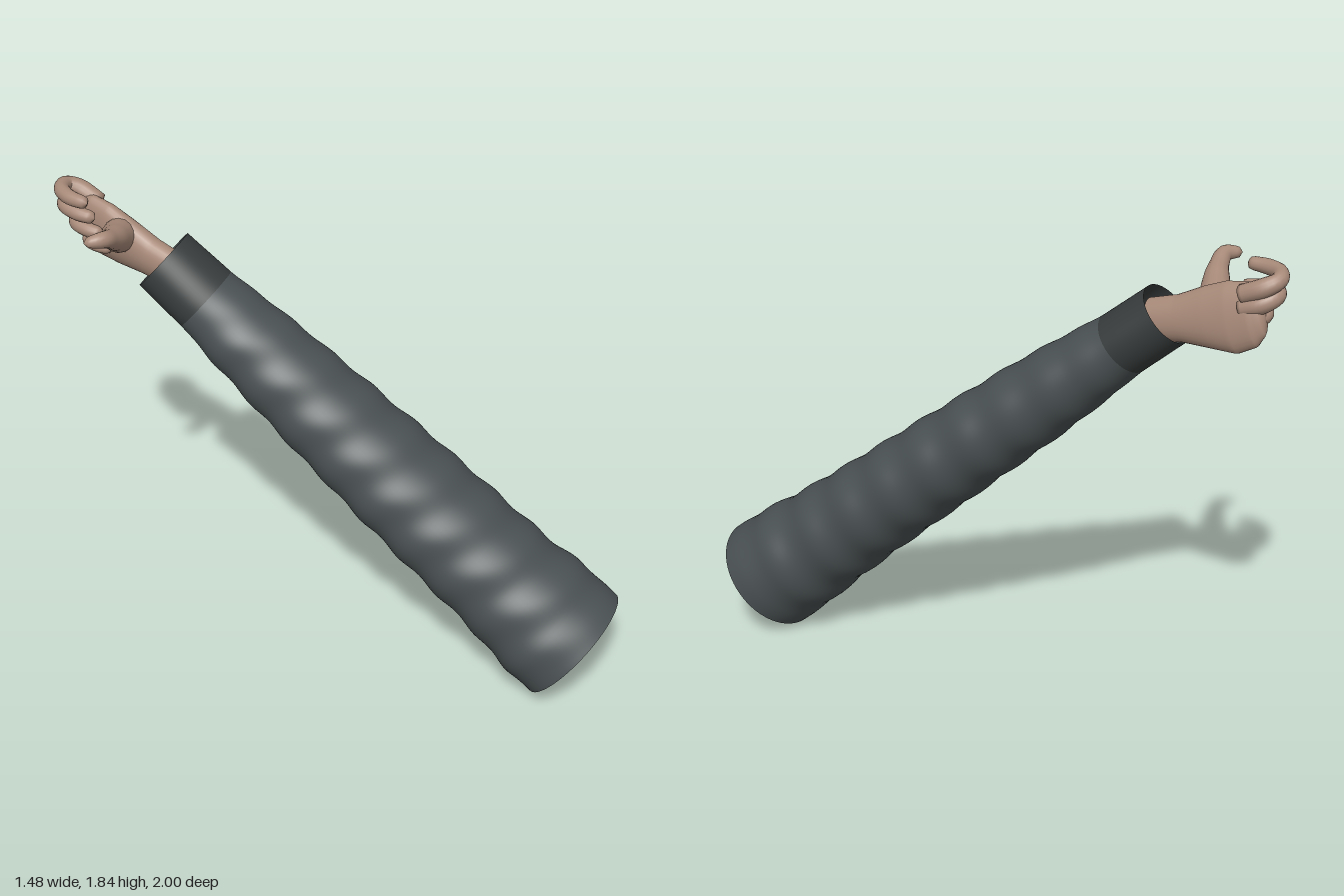
import * as THREE from 'three';

const vec = (x, y, z) => new THREE.Vector3(x, y, z);
const material = (color, side = THREE.FrontSide) => new THREE.MeshStandardMaterial({ color, side });

// Piecewise linear lookup in a list of [t, value...] rows
function sample(rows, t) {
  let i = 0;
  while (i < rows.length - 2 && t > rows[i + 1][0]) i++;
  const k = THREE.MathUtils.clamp((t - rows[i][0]) / (rows[i + 1][0] - rows[i][0]), 0, 1);
  const s = k * k * (3 - 2 * k) * 0.4 + k * 0.6;
  return rows[i].map((v, j) => v + (rows[i + 1][j] - v) * s);
}

// Closed cross-sections joined in a row; point(t, angle) gives the surface
function loft(point, rows, sides) {
  const pos = [], index = [];
  for (let i = 0; i <= rows; i++) {
    for (let j = 0; j < sides; j++) pos.push(...point(i / rows, (j / sides) * Math.PI * 2).toArray());
  }
  for (let i = 0; i < rows; i++) {
    for (let j = 0; j < sides; j++) {
      const a = i * sides + j, b = i * sides + ((j + 1) % sides);
      index.push(a, b, a + sides, b, b + sides, a + sides);
    }
  }
  const geo = new THREE.BufferGeometry();
  geo.setAttribute('position', new THREE.Float32BufferAttribute(pos, 3));
  geo.setIndex(index);
  geo.computeVertexNormals();
  return geo;
}

// Rounded, tapering limb through points [x, y, z, radius]
function limb(points, rows = 28, sides = 16) {
  const curve = new THREE.CatmullRomCurve3(points.map(p => vec(p[0], p[1], p[2])));
  const frames = curve.computeFrenetFrames(rows);
  const radii = points.map((p, i) => [i / (points.length - 1), p[3]]);
  const length = curve.getLength();
  return loft((t, angle) => {
    const i = Math.round(t * rows);
    const u = 1 - Math.pow(1 - t, 1.5); // denser rows at the tip
    const at = curve.getUtoTmapping(t);
    let r = sample(radii, at)[1];
    const fromTip = (1 - t) * length;
    if (fromTip < r) r *= Math.sqrt(Math.max(0, 1 - (1 - fromTip / r) ** 2));
    if (t === 0) r = 0.001;
    return curve.getPointAt(t)
      .addScaledVector(frames.normals[i], r * Math.cos(angle))
      .addScaledVector(frames.binormals[i], r * Math.sin(angle));
  }, rows, sides);
}

export function createModel() {
  const model = new THREE.Group();
  const add = (name, geo, mat, parent = model) => {
    const mesh = new THREE.Mesh(geo, mat);
    mesh.name = name;
    parent.add(mesh);
    return mesh;
  };

  // Sleeve axis from shoulder to wrist, with the two axes of its oval section
  const shoulder = vec(0.505, 0.187, 0.82), wrist = vec(-0.405, 1.595, -0.577);
  const U = vec(0, 0.708, 0.706), V = vec(0.909, 0.295, -0.295);
  const profile = [ // t, half size along U, half size along V
    [0, 0.236, 0.258], [0.06, 0.23, 0.262], [0.18, 0.207, 0.238], [0.3, 0.193, 0.232],
    [0.43, 0.183, 0.222], [0.58, 0.171, 0.203], [0.7, 0.161, 0.184],
    [0.8, 0.145, 0.167], [0.9, 0.125, 0.144], [1, 0.123, 0.137],
  ];
  const sleevePoint = (t, angle) => {
    const [, a, b] = sample(profile, t);
    // soft cloth folds that fade out at both ends
    const fade = Math.min(1, t / 0.08) * THREE.MathUtils.clamp((0.9 - t) / 0.08, 0, 1);
    const fold = 1 + 0.022 * fade * Math.sin(t * 66 + 1.8 * Math.sin(angle) + Math.cos(2 * angle));
    return shoulder.clone().lerp(wrist, t)
      .addScaledVector(U, a * fold * Math.cos(angle))
      .addScaledVector(V, b * fold * Math.sin(angle));
  };
  add('sleeve', loft((t, g) => sleevePoint(t * 0.9, g), 110, 64), material(0x4a5153, THREE.DoubleSide));
  add('cuff', loft((t, g) => sleevePoint(0.9 + t * 0.1, g), 6, 64), material(0x383c3c, THREE.DoubleSide));

  // Hand
  const hand = new THREE.Group();
  hand.name = 'hand';
  model.add(hand);
  const skin = material(0xa88a79, THREE.DoubleSide);

  // Wrist and palm: oval sections, tall in y and thin in x
  const palm = [ // t, centre x y z, half height, half thickness
    [0, -0.385, 1.56, -0.52, 0.08, 0.058],
    [0.2, -0.425, 1.59, -0.63, 0.088, 0.06],
    [0.45, -0.465, 1.622, -0.74, 0.115, 0.062],
    [0.65, -0.492, 1.645, -0.83, 0.132, 0.056],
    [0.82, -0.518, 1.675, -0.905, 0.118, 0.046],
    [0.94, -0.53, 1.693, -0.94, 0.085, 0.032],
    [1, -0.535, 1.7, -0.952, 0.002, 0.002],
  ];
  const tall = vec(-0.05, 0.93, 0.36).normalize(), thin = vec(0.95, 0.1, -0.28).normalize();
  add('palm', loft((t, angle) => {
    const [, x, y, z, h, w] = sample(palm, t);
    return vec(x, y, z).addScaledVector(tall, h * Math.cos(angle)).addScaledVector(thin, w * Math.sin(angle));
  }, 36, 32), skin, hand);

  // Thumb, reaching out sideways and back towards the arm
  add('thumb', limb([
    [-0.46, 1.64, -0.77, 0.06], [-0.515, 1.675, -0.71, 0.066], [-0.57, 1.712, -0.645, 0.05],
    [-0.625, 1.745, -0.595, 0.036], [-0.675, 1.768, -0.568, 0.031], [-0.74, 1.766, -0.59, 0.019],
  ]), skin, hand);

  // Fingers, curled around in front of the palm
  const fingers = {
    indexFinger: [[-0.49, 1.74, -0.86, 0.036], [-0.53, 1.785, -0.945, 0.036], [-0.575, 1.808, -0.968, 0.031],
      [-0.62, 1.815, -0.925, 0.03], [-0.63, 1.814, -0.855, 0.029], [-0.605, 1.812, -0.77, 0.024]],
    middleFinger: [[-0.49, 1.69, -0.86, 0.038], [-0.53, 1.722, -0.935, 0.038], [-0.575, 1.745, -0.958, 0.033],
      [-0.612, 1.75, -0.92, 0.031], [-0.605, 1.742, -0.85, 0.029], [-0.57, 1.735, -0.78, 0.024]],
    ringFinger: [[-0.485, 1.63, -0.85, 0.037], [-0.52, 1.655, -0.91, 0.037], [-0.553, 1.672, -0.928, 0.032],
      [-0.583, 1.676, -0.89, 0.03], [-0.575, 1.67, -0.83, 0.028], [-0.545, 1.665, -0.775, 0.023]],
    littleFinger: [[-0.475, 1.575, -0.81, 0.034], [-0.505, 1.588, -0.865, 0.034], [-0.532, 1.6, -0.885, 0.029],
      [-0.554, 1.604, -0.85, 0.027], [-0.545, 1.602, -0.8, 0.025], [-0.52, 1.6, -0.755, 0.02]],
  };
  for (const [name, points] of Object.entries(fingers)) add(name, limb(points), skin, hand);

  return model;
}
